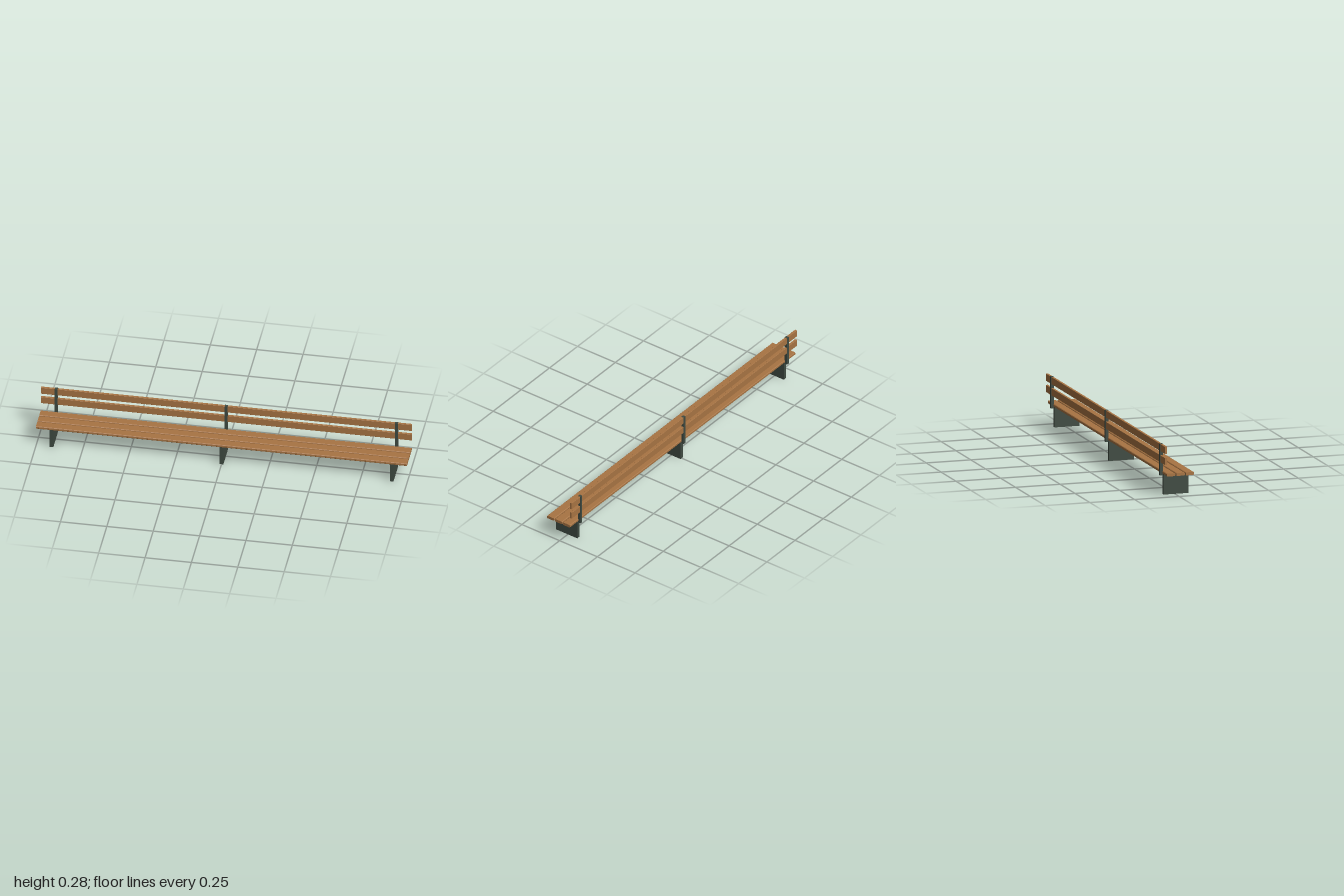
import * as THREE from 'three';

const wood = new THREE.MeshStandardMaterial({ color: 0xa87443, flatShading: true });
wood.name = 'wood';
const metal = new THREE.MeshStandardMaterial({ color: 0x3f4a41, flatShading: true });
metal.name = 'dark green metal';

// Plank along x with chamfered long edges, given its z and y extents
function plank(name, z0, z1, y0, y1, c) {
  const s = new THREE.Shape([
    [z0 + c, y0], [z1 - c, y0], [z1, y0 + c], [z1, y1 - c],
    [z1 - c, y1], [z0 + c, y1], [z0, y1 - c], [z0, y0 + c],
  ].map(([z, y]) => new THREE.Vector2(-z, y)));
  const geo = new THREE.ExtrudeGeometry(s, { depth: 2, bevelEnabled: false });
  geo.translate(0, 0, -1).rotateY(Math.PI / 2);
  const mesh = new THREE.Mesh(geo, wood);
  mesh.name = name;
  return mesh;
}

function box(name, x, w, z0, z1, y0, y1) {
  const mesh = new THREE.Mesh(new THREE.BoxGeometry(w, y1 - y0, z1 - z0), metal);
  mesh.position.set(x, (y0 + y1) / 2, (z0 + z1) / 2);
  mesh.name = name;
  return mesh;
}

export function createModel() {
  const bench = new THREE.Group();
  bench.name = 'bench';

  // Three seat planks
  for (const z of [0.06, 0.0075, -0.0455])
    bench.add(plank('seatPlank', z - 0.0235, z + 0.0235, 0.112, 0.128, 0.003));

  // Two backrest planks, held inside the posts
  for (const y of [0.1945, 0.2555])
    bench.add(plank('backPlank', -0.0805, -0.0675, y - 0.0195, y + 0.0195, 0.001));

  // Supports: leg panel and back post
  for (const x of [-0.917, 0, 0.917]) {
    bench.add(box('legPanel', x, 0.02, -0.0625, 0.077, 0, 0.1125));
    bench.add(box('backPost', x, 0.016, -0.082, -0.066, 0.104, 0.2755));
  }
  return bench;
}
